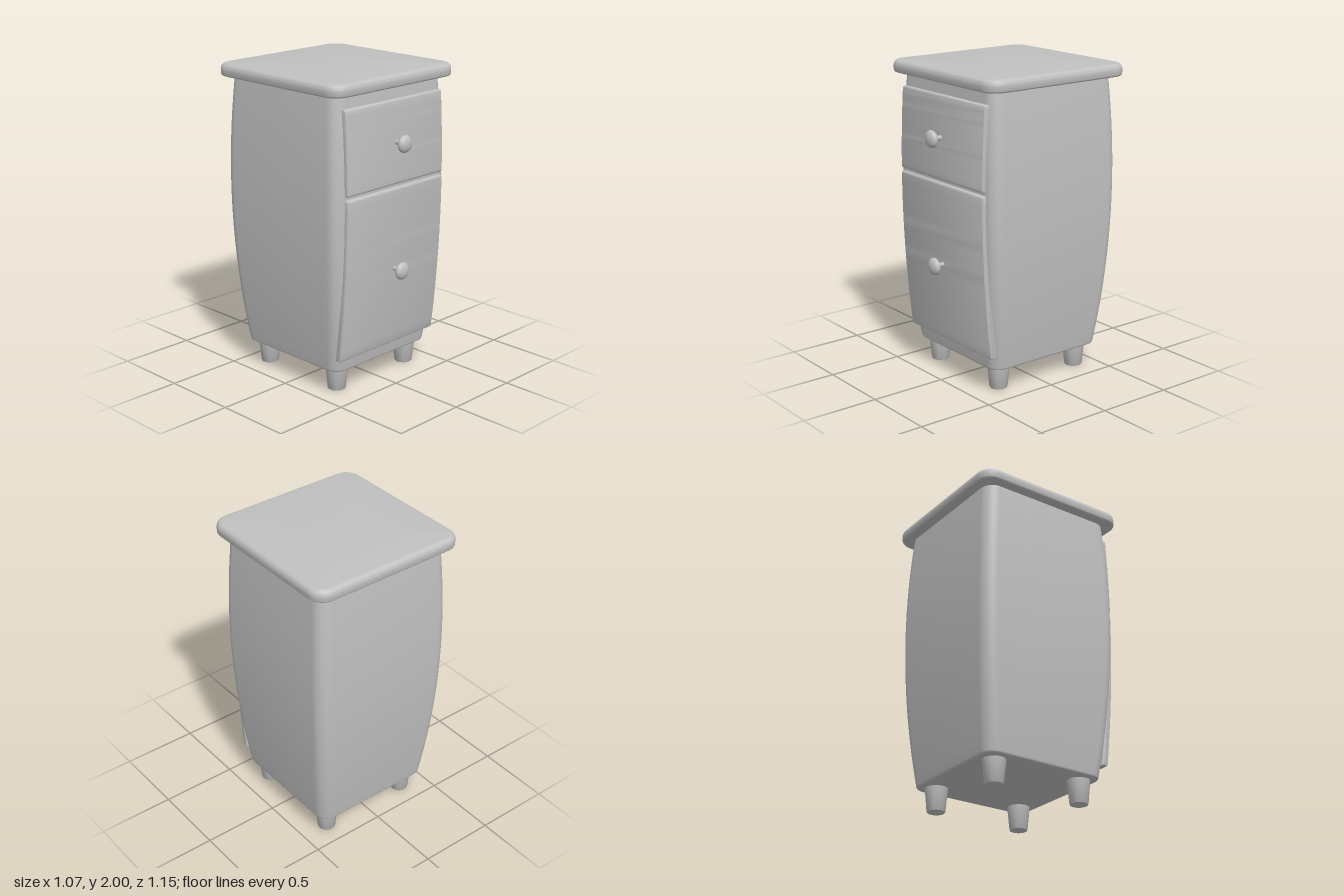
import * as THREE from 'three';
import { toCreasedNormals } from 'three/addons/utils/BufferGeometryUtils.js';

const CENTRE_Z = -0.038;

// Half width of the bulging cabinet at height y
const halfWidth = (y) => 0.498 - 0.063 * (y - 1.25) ** 2;
// Depth of the cabinet's front surface at height y
const frontZ = (y) => halfWidth(y) + CENTRE_Z;

// Closed loft of rounded squares; each ring is [y, half width, corner radius]
function roundedSquareLoft(rings, cornerSteps = 10) {
  const pos = [], index = [];
  const n = 4 * (cornerSteps + 1);
  for (const [y, half, r] of rings) {
    for (let c = 0; c < 4; c++) {
      const mid = (c + 0.5) * Math.PI / 2;
      const cx = Math.sign(Math.cos(mid)) * (half - r);
      const cz = Math.sign(Math.sin(mid)) * (half - r);
      for (let i = 0; i <= cornerSteps; i++) {
        const a = (c + i / cornerSteps) * Math.PI / 2;
        pos.push(cx + r * Math.cos(a), y, -(cz + r * Math.sin(a)));
      }
    }
  }
  const last = rings.length - 1;
  for (let k = 0; k < last; k++) {
    for (let i = 0; i < n; i++) {
      const a = k * n + i, b = k * n + (i + 1) % n;
      index.push(a, b, b + n, a, b + n, a + n);
    }
  }
  // Bottom and top caps
  const bottom = pos.length / 3;
  pos.push(0, rings[0][0], 0, 0, rings[last][0], 0);
  for (let i = 0; i < n; i++) {
    const j = (i + 1) % n;
    index.push(bottom, j, i, bottom + 1, last * n + i, last * n + j);
  }
  const geo = new THREE.BufferGeometry();
  geo.setAttribute('position', new THREE.Float32BufferAttribute(pos, 3));
  geo.setIndex(index);
  return toCreasedNormals(geo, 0.6);
}

// Curved slab that follows the cabinet front, with softened edges
function drawerGeometry(y0, y1, width) {
  const bevel = 0.01, soft = 0.006, steps = 20;
  const lo = y0 + bevel, hi = y1 - bevel;
  const front = (y) => frontZ(y) + 0.025 - bevel;
  const back = (y) => frontZ(y) - 0.02 + bevel;
  const shape = new THREE.Shape();
  shape.moveTo(back(lo), lo);
  shape.lineTo(front(lo) - soft, lo);
  shape.quadraticCurveTo(front(lo), lo, front(lo + soft), lo + soft);
  for (let i = 1; i <= steps; i++) {
    const y = lo + soft + (hi - lo - 2 * soft) * i / steps;
    shape.lineTo(front(y), y);
  }
  shape.quadraticCurveTo(front(hi), hi, front(hi) - soft, hi);
  for (let i = 0; i < steps; i++) {
    const y = hi + (lo - hi) * i / steps;
    shape.lineTo(back(y), y);
  }
  const depth = width - 2 * bevel;
  const geo = new THREE.ExtrudeGeometry(shape, {
    depth, bevelEnabled: true, bevelSize: bevel, bevelThickness: bevel,
    bevelSegments: 4, curveSegments: 5,
  });
  geo.translate(0, 0, -depth / 2);
  geo.rotateY(-Math.PI / 2);
  return toCreasedNormals(geo, 0.6);
}

export function createModel() {
  const model = new THREE.Group();
  const grey = new THREE.MeshStandardMaterial({ color: 0xc0c0c0 });
  grey.name = 'paintedGrey';

  const add = (name, geo, x = 0, y = 0, z = 0, parent = model) => {
    const mesh = new THREE.Mesh(geo, grey);
    mesh.name = name;
    mesh.position.set(x, y, z);
    parent.add(mesh);
    return mesh;
  };

  // Bulging cabinet with a softened bottom edge
  const rings = [];
  const y0 = 0.155, edge = 0.016;
  for (let i = 0; i < 4; i++) {
    const a = i / 4 * Math.PI / 2;
    const inset = edge * (1 - Math.sin(a));
    rings.push([y0 + edge * (1 - Math.cos(a)), halfWidth(y0 + edge) - inset, 0.085 - inset]);
  }
  for (let i = 0; i <= 28; i++) {
    const y = y0 + edge + (1.925 - y0 - edge) * i / 28;
    rings.push([y, halfWidth(y), 0.085]);
  }
  add('cabinetBody', roundedSquareLoft(rings), 0, 0, CENTRE_Z);

  // Overhanging top with rounded edges
  const top = [], under = 0.018, over = 0.036;
  for (let i = 0; i <= 5; i++) {
    const a = i / 5 * Math.PI / 2, inset = under * (1 - Math.sin(a));
    top.push([1.92 + under * (1 - Math.cos(a)), 0.537 - inset, 0.105 - inset]);
  }
  for (let i = 0; i <= 7; i++) {
    const a = i / 7 * Math.PI / 2, inset = over * (1 - Math.cos(a));
    top.push([2 - over * (1 - Math.sin(a)), 0.537 - inset, 0.105 - inset]);
  }
  add('tabletop', roundedSquareLoft(top), 0, 0, CENTRE_Z);

  // Drawer fronts, each with a flattened round knob
  const knobGeo = new THREE.SphereGeometry(0.055, 32, 20).scale(1, 1, 0.55);
  const stemGeo = new THREE.CylinderGeometry(0.015, 0.015, 0.07, 20).rotateX(Math.PI / 2);
  for (const [name, low, high, knobY] of [
    ['upperDrawer', 1.315, 1.84, 1.58],
    ['lowerDrawer', 0.245, 1.295, 0.77],
  ]) {
    const drawer = new THREE.Group();
    drawer.name = name;
    model.add(drawer);
    add(name + 'Front', drawerGeometry(low, high, 0.85), 0, 0, 0, drawer);
    add(name + 'KnobStem', stemGeo, 0, knobY, frontZ(knobY) + 0.045, drawer);
    add(name + 'Knob', knobGeo, 0, knobY, frontZ(knobY) + 0.093, drawer);
  }

  // Four tapered feet
  const footProfile = [[0, 0], [0.05, 0], [0.055, 0.002], [0.058, 0.008], [0.073, 0.165], [0, 0.165]]
    .map(([r, y]) => new THREE.Vector2(r, y));
  const footGeo = toCreasedNormals(new THREE.LatheGeometry(footProfile, 32), 0.6);
  for (const sx of [-1, 1]) {
    for (const sz of [-1, 1]) {
      add((sz > 0 ? 'front' : 'back') + (sx > 0 ? 'Left' : 'Right') + 'Foot',
        footGeo, sx * 0.312, 0, sz * 0.312 + CENTRE_Z + 0.003);
    }
  }
  return model;
}
